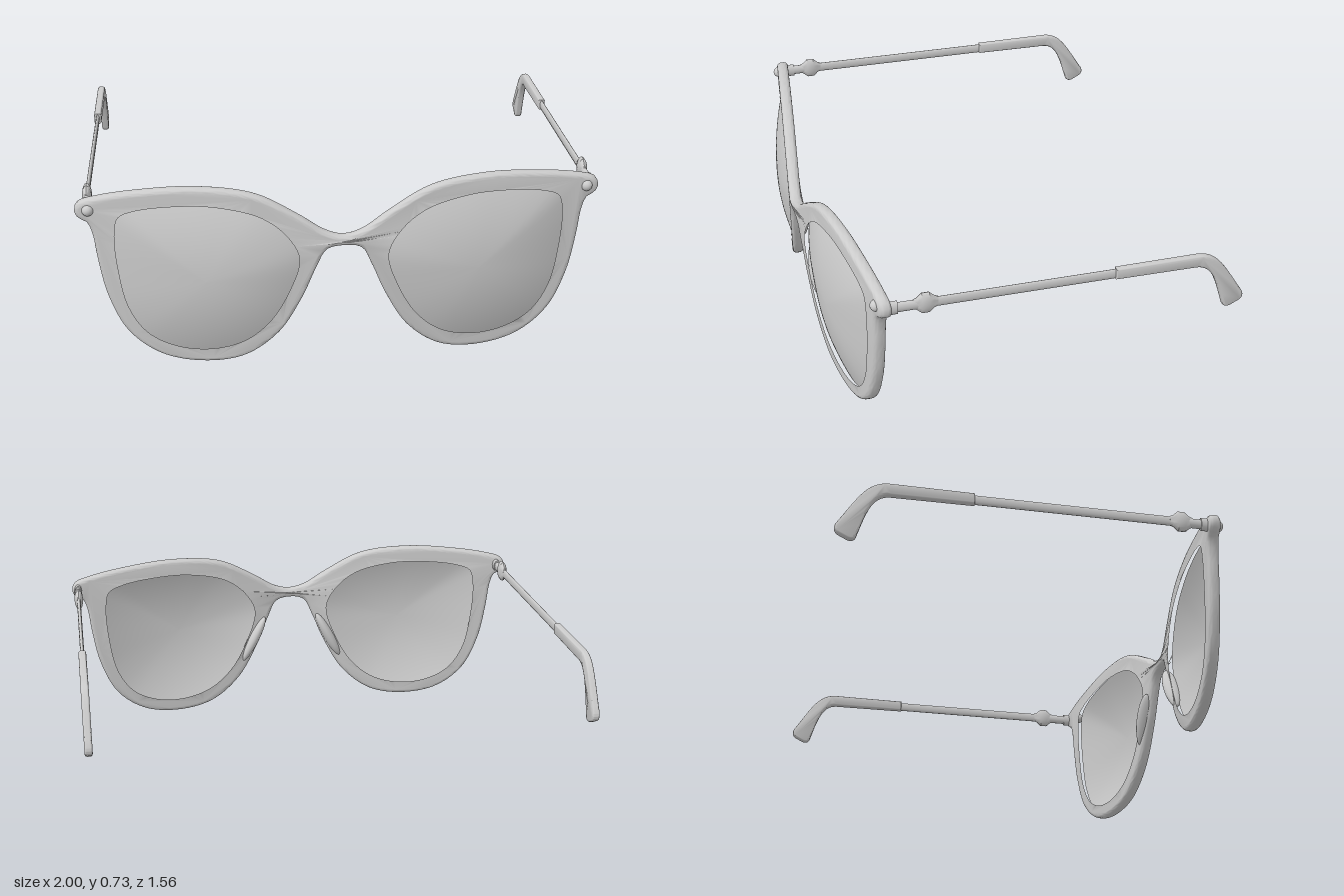
import * as THREE from 'three';
import { toCreasedNormals } from 'three/addons/utils/BufferGeometryUtils.js';

const grey = new THREE.MeshStandardMaterial({ color: 0xcccccc });
const greyThin = new THREE.MeshStandardMaterial({ color: 0xcccccc, side: THREE.DoubleSide });

// Half of the frame outline, from bridge top round the end piece to bridge underside
const HALF_OUTLINE = [[0, .54], [.07, .557], [.17, .62], [.33, .703], [.54, .73], [.76, .716], [.92, .69], [.985, .668],
  [.998, .635], [.985, .607], [.953, .59], [.935, .54], [.922, .44], [.89, .28], [.82, .13], [.70, .035], [.54, .003],
  [.38, .03], [.25, .13], [.16, .28], [.105, .41], [.065, .485], [0, .5]];
const LENS_OUTLINE = [[.152, .45], [.2, .55], [.3, .63], [.46, .672], [.6, .678], [.78, .657], [.85, .625], [.87, .55],
  [.863, .39], [.83, .23], [.76, .12], [.65, .06], [.515, .045], [.38, .08], [.275, .165], [.195, .3]];

const mirrorX = pts => pts.map(([x, y]) => [-x, y]).reverse();

function smoothLoop(pts, n) {
  const curve = new THREE.CatmullRomCurve3(pts.map(([x, y]) => new THREE.Vector3(x, y, 0)), true);
  return curve.getSpacedPoints(n).slice(0, n).map(p => new THREE.Vector2(p.x, p.y));
}

// Sweep of the front towards the temples: one side is swept further than the other
const frontZ = x => .762 - (x > 0 ? .172 : .105) * (Math.hypot(x, .03) - .004);

function mesh(name, geometry, material = grey) {
  const m = new THREE.Mesh(geometry, material);
  m.name = name;
  return m;
}

function bendToFront(geometry) {
  const p = geometry.attributes.position;
  for (let i = 0; i < p.count; i++) p.setZ(i, p.getZ(i) + frontZ(p.getX(i)));
  return geometry;
}

function frameGeometry() {
  const shape = new THREE.Shape(smoothLoop([...HALF_OUTLINE, ...mirrorX(HALF_OUTLINE.slice(1, -1))], 260));
  for (const outline of [LENS_OUTLINE, mirrorX(LENS_OUTLINE)]) {
    shape.holes.push(new THREE.Path(smoothLoop(outline, 100)));
  }
  const g = new THREE.ExtrudeGeometry(shape, {
    depth: .012, bevelThickness: .018, bevelSize: .017, bevelOffset: -.017, bevelSegments: 5, steps: 1,
  });
  g.translate(0, 0, -.006);
  return toCreasedNormals(bendToFront(g), .9);
}

// Domed lens made of rings shrinking towards the middle
function lensGeometry(side) {
  const n = 80, rings = 14, cx = .52, cy = .37;
  const edge = smoothLoop(LENS_OUTLINE, n);
  const pos = [], index = [];
  for (let r = 0; r <= rings; r++) {
    const s = r / rings;
    for (const p of edge) {
      const x = side * (cx + (p.x - cx) * s * 1.02);
      pos.push(x, cy + (p.y - cy) * s * 1.02, frontZ(x) + .065 * (1 - s * s));
    }
  }
  for (let r = 0; r < rings; r++) {
    for (let i = 0; i < n; i++) {
      const j = (i + 1) % n, a = r * n + i, b = r * n + j, c = a + n, d = b + n;
      if (side > 0) index.push(a, d, c, a, b, d);
      else index.push(a, c, d, a, d, b);
    }
  }
  const g = new THREE.BufferGeometry();
  g.setAttribute('position', new THREE.Float32BufferAttribute(pos, 3));
  g.setIndex(index);
  g.computeVertexNormals();
  return g;
}

// Rubber sleeve with the drooping ear hook, drawn in (z, y)
function sleeveGeometry() {
  const s = new THREE.Shape();
  s.moveTo(-.265, .663);
  s.lineTo(-.59, .665);
  s.bezierCurveTo(-.67, .66, -.70, .59, -.775, .475);
  s.quadraticCurveTo(-.787, .45, -.765, .435);
  s.lineTo(-.73, .417);
  s.quadraticCurveTo(-.705, .41, -.698, .432);
  s.bezierCurveTo(-.665, .54, -.645, .612, -.58, .615);
  s.lineTo(-.265, .617);
  const g = new THREE.ExtrudeGeometry(s, {
    depth: .01, bevelThickness: .01, bevelSize: .01, bevelOffset: -.01, bevelSegments: 4, curveSegments: 16,
  });
  g.translate(0, 0, -.005);
  g.rotateY(-Math.PI / 2);
  return toCreasedNormals(g, .7);
}

// Flattened faceted hinge knob, turned about the z axis
function knobGeometry() {
  const profile = [[0, -.048], [.02, -.046], [.026, -.032], [.043, -.014], [.043, .014], [.026, .032], [.02, .046], [0, .048]];
  const g = new THREE.LatheGeometry(profile.map(([r, y]) => new THREE.Vector2(r, y)), 16);
  g.rotateX(Math.PI / 2);
  g.scale(.42, 1, 1);
  return toCreasedNormals(g, .5);
}

function rod(name, z0, z1, rx, ry) {
  const g = new THREE.CylinderGeometry(1, 1, Math.abs(z1 - z0), 20);
  g.rotateX(Math.PI / 2);
  g.scale(rx, ry, 1);
  const m = mesh(name, g);
  m.position.set(0, .638, (z0 + z1) / 2);
  return m;
}

function temple(side) {
  const t = new THREE.Group();
  t.name = side > 0 ? 'leftTemple' : 'rightTemple';
  const knobZ = side > 0 ? .445 : .535;
  const frontX = frontZ(side * .96);
  const knob = mesh('hingeKnob', knobGeometry());
  knob.position.set(0, .64, knobZ);
  t.add(knob, rod('hingeBlock', frontX, frontX - .05, .016, .027), rod('hingeStem', frontX, knobZ, .012, .02),
    rod('templeRod', knobZ, -.3, .008, .02), mesh('earSleeve', sleeveGeometry()));
  t.position.x = side > 0 ? .972 : -.957;
  return t;
}

export function createModel() {
  const model = new THREE.Group();
  model.name = 'sunglasses';
  model.add(mesh('frontFrame', frameGeometry()));
  for (const side of [1, -1]) {
    const prefix = side > 0 ? 'left' : 'right';
    model.add(mesh(prefix + 'Lens', lensGeometry(side), greyThin));

    // Nose pad swelling from the back of the rim
    const pad = mesh(prefix + 'NosePad', new THREE.SphereGeometry(1, 24, 16));
    pad.scale.set(.024, .12, .035);
    pad.position.set(side * .178, .31, frontZ(side * .178) - .018);
    pad.rotation.z = side * .48;
    model.add(pad);

    // Rivet on the end piece
    const rivet = mesh(prefix + 'Rivet', new THREE.SphereGeometry(.022, 20, 14));
    rivet.position.set(side * .947, .642, frontZ(side * .947) + .02);
    model.add(rivet, temple(side));
  }
  return model;
}
